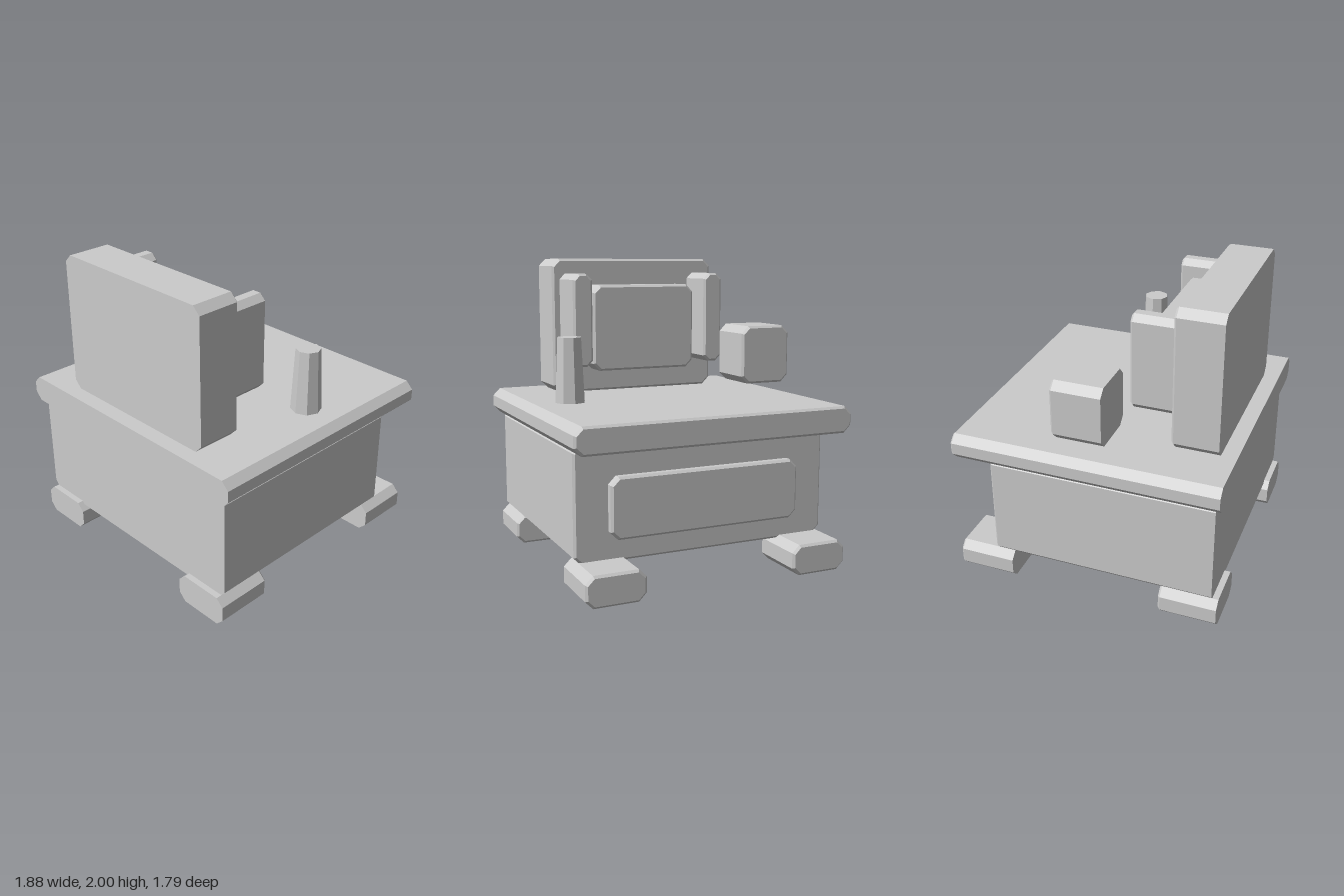
import * as THREE from 'three';

const material = new THREE.MeshStandardMaterial({ color: 0xcccccc, flatShading: true });

// Rectangle outline with cut corners, counter-clockwise seen from +z
function outline(w, h, c) {
  return [
    [w, c - h], [w, h - c], [w - c, h], [c - w, h],
    [-w, h - c], [-w, c - h], [c - w, -h], [w - c, -h],
  ];
}

// Block with cut corners along z, a flat front and a small bevel at the back
function block(name, [x0, x1], [y0, y1], [z0, z1], cut = 0.05, bevel = 0.015) {
  const w = (x1 - x0) / 2, h = (y1 - y0) / 2;
  const rings = [
    [outline(w, h, cut), z1],
    [outline(w, h, cut), z0 + bevel],
    [outline(w - bevel, h - bevel, cut - 0.59 * bevel), z0],
  ];
  const positions = [], index = [];
  for (const [points, z] of rings) {
    for (const [x, y] of points) positions.push(x, y, z);
  }
  for (let r = 0; r < 2; r++) {
    for (let i = 0; i < 8; i++) {
      const j = (i + 1) % 8, a = r * 8, b = a + 8;
      index.push(a + i, b + i, b + j, a + i, b + j, a + j);
    }
  }
  // Front and back caps
  for (let i = 1; i < 7; i++) index.push(0, i, i + 1, 16, 17 + i, 16 + i);

  const indexed = new THREE.BufferGeometry();
  indexed.setAttribute('position', new THREE.Float32BufferAttribute(positions, 3));
  indexed.setIndex(index);
  const geometry = indexed.toNonIndexed();
  geometry.computeVertexNormals();
  const mesh = new THREE.Mesh(geometry, material);
  mesh.name = name;
  mesh.position.set((x0 + x1) / 2, (y0 + y1) / 2, 0);
  return mesh;
}

export function createModel() {
  const group = new THREE.Group();
  group.name = 'desk';

  // Body, top slab and the panel on the rear face
  group.add(
    block('body', [-0.87, 0.87], [0.18, 0.92], [-0.635, 0.855]),
    block('deskTop', [-0.94, 0.94], [0.895, 1.07], [-0.865, 0.895]),
    block('drawerPanel', [-0.65, 0.65], [0.325, 0.715], [-0.69, -0.6]),
  );

  // Upright board with its inner panel
  group.add(
    block('uprightBoard', [-0.61, 0.61], [1.07, 2], [0.485, 0.79]),
    block('innerPanel', [-0.38, 0.38], [1.23, 1.82], [0.3, 0.5]),
  );

  // Mirrored side fins and feet
  for (const side of [-1, 1]) {
    const span = (a, b) => (side > 0 ? [a, b] : [-b, -a]);
    const label = side > 0 ? 'left' : 'right';
    group.add(
      block(label + 'Fin', span(0.42, 0.558), [1.275, 1.9], [0.2, 0.5], 0.04),
      block(label + 'FrontFoot', span(0.505, 0.893), [0, 0.2], [0.51, 0.895]),
      block(label + 'BackFoot', span(0.505, 0.893), [0, 0.2], [-0.893, -0.508]),
    );
  }

  // Box and tapered cup above the slab
  group.add(block('sideBox', [-0.88, -0.515], [1.15, 1.545], [-0.19, 0.14]));
  const cup = new THREE.Mesh(new THREE.CylinderGeometry(0.08, 0.1, 0.42, 8), material);
  cup.name = 'cup';
  cup.position.set(0.68, 1.295, -0.055);
  group.add(cup);

  return group;
}
